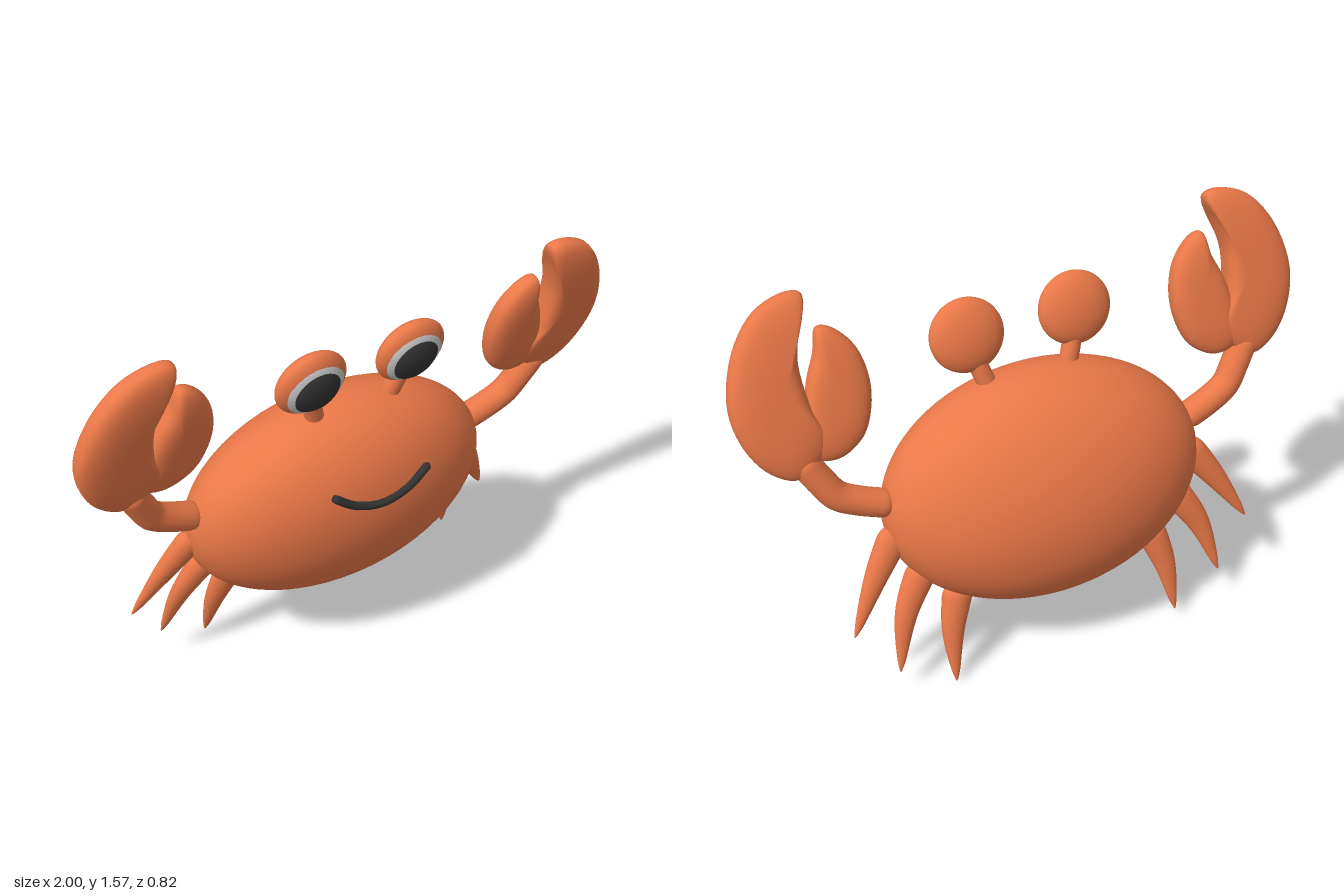
import * as THREE from 'three';
import { mergeVertices } from 'three/addons/utils/BufferGeometryUtils.js';

const shell = new THREE.MeshStandardMaterial({ color: 0xea7848 });
const white = new THREE.MeshStandardMaterial({ color: 0xcccccc });
const dark = new THREE.MeshStandardMaterial({ color: 0x333333 });

function mesh(name, geometry, material) {
  const m = new THREE.Mesh(geometry, material);
  m.name = name;
  return m;
}

function ellipsoid(name, radii, position, material, segments = 40) {
  const g = new THREE.SphereGeometry(1, segments, segments * 0.7 | 0).scale(...radii);
  const m = mesh(name, g, material);
  m.position.set(...position);
  return m;
}

// Tube along a path, with rounded ends; taper(t) scales its radius
function limb(name, points, radius, material, taper = () => 1) {
  const curve = new THREE.CatmullRomCurve3(points.map((p) => new THREE.Vector3(...p)));
  const rings = 48, sides = 18;
  const g = new THREE.TubeGeometry(curve, rings, radius, sides);
  const cap = radius / curve.getLength();
  const pos = g.attributes.position;
  const v = new THREE.Vector3();
  for (let i = 0; i <= rings; i++) {
    const t = i / rings;
    const c = curve.getPointAt(t);
    const d = Math.min(1, Math.min(t, 1 - t) / cap);
    const f = taper(t) * Math.sqrt(1 - (1 - d) ** 2);
    for (let j = 0; j <= sides; j++) {
      const k = i * (sides + 1) + j;
      v.fromBufferAttribute(pos, k).sub(c).multiplyScalar(f).add(c);
      pos.setXYZ(k, v.x, v.y, v.z);
    }
  }
  g.deleteAttribute('uv');
  g.deleteAttribute('normal');
  const smooth = mergeVertices(g, 1e-5);
  smooth.computeVertexNormals();
  return mesh(name, smooth, material);
}

// Cushion-like plate: a closed outline with flat faces and a rounded rim
function cushion(name, outline, half, material) {
  const curve = new THREE.CatmullRomCurve3(
    outline.map(([x, y]) => new THREE.Vector3(x, y, 0)), true);
  const pts = curve.getPoints(64).slice(0, 64);
  if (THREE.ShapeUtils.isClockWise(pts)) pts.reverse();
  const c = new THREE.Vector3();
  pts.forEach((p) => c.addScaledVector(p, 1 / pts.length));
  const rings = 28, n = pts.length, verts = [], index = [];
  for (let j = 0; j <= rings; j++) {
    const a = (j / rings - 0.5) * Math.PI;
    const s = Math.max(1e-5, Math.cos(a)) ** 0.6;
    const z = half * Math.sign(a) * Math.abs(Math.sin(a)) ** 0.75;
    for (const p of pts) {
      verts.push(c.x + (p.x - c.x) * s, c.y + (p.y - c.y) * s, z);
    }
  }
  for (let j = 0; j < rings; j++) {
    for (let i = 0; i < n; i++) {
      const a = j * n + i, b = j * n + (i + 1) % n;
      index.push(a, b, a + n, b, b + n, a + n);
    }
  }
  const g = new THREE.BufferGeometry();
  g.setAttribute('position', new THREE.Float32BufferAttribute(verts, 3));
  g.setIndex(index);
  const smooth = mergeVertices(g, 2e-3);
  smooth.computeVertexNormals();
  const m = mesh(name, smooth, material);
  m.position.z = -0.03;
  return m;
}

const bigFinger = [
  [0.728, 0.872], [0.772, 0.888], [0.888, 0.85], [0.984, 0.733], [1.038, 0.553],
  [1.018, 0.413], [0.955, 0.306], [0.865, 0.254], [0.78, 0.298], [0.735, 0.37],
  [0.772, 0.491], [0.786, 0.658], [0.762, 0.768],
];
const smallFinger = [
  [0.703, 0.75], [0.662, 0.743], [0.592, 0.667], [0.562, 0.55], [0.575, 0.435],
  [0.62, 0.343], [0.711, 0.29], [0.79, 0.31], [0.8, 0.44], [0.768, 0.575], [0.728, 0.667],
];
const legPaths = [
  [[0.555, -0.025], [0.664, -0.185], [0.782, -0.392]],
  [[0.485, -0.185], [0.582, -0.355], [0.645, -0.58]],
  [[0.375, -0.3], [0.426, -0.48], [0.447, -0.688]],
];

export function createModel() {
  const crab = new THREE.Group();
  crab.name = 'crab';

  crab.add(ellipsoid('body', [0.6, 0.436, 0.297], [0, -0.004, 0], shell, 64));

  // Smile
  crab.add(limb('mouth', [
    [-0.205, 0.27, 0.235], [-0.11, 0.209, 0.258], [0, 0.187, 0.27],
    [0.11, 0.209, 0.258], [0.197, 0.267, 0.235],
  ], 0.015, dark));

  for (const side of [1, -1]) {
    const label = side > 0 ? 'left' : 'right';
    const flip = ([x, y, z = 0]) => [x * side, y, z];

    // Eye on a short stalk
    const eye = new THREE.Group();
    eye.name = label + 'Eye';
    eye.add(limb('eyeStalk', [
      [0.14, 0.36, -0.01], [0.165, 0.44, -0.015], [0.195, 0.54, -0.018],
    ].map(flip), 0.034, shell));
    eye.add(ellipsoid('eyeball', [0.134, 0.132, 0.057], flip([0.2, 0.59, -0.018]), shell));
    eye.add(ellipsoid('eyeWhite', [0.119, 0.117, 0.05], flip([0.199, 0.587, -0.005]), white));
    eye.add(ellipsoid('pupil', [0.096, 0.096, 0.045], flip([0.198, 0.584, 0.01]), dark));
    crab.add(eye);

    // Arm and two-fingered claw
    const arm = new THREE.Group();
    arm.name = label + 'Arm';
    arm.add(limb('upperArm', [
      [0.55, 0.065, -0.018], [0.68, 0.118, -0.02], [0.745, 0.158, -0.022],
      [0.79, 0.228, -0.025], [0.85, 0.34, -0.03],
    ].map(flip), 0.052, shell));
    arm.add(cushion('bigClawFinger', bigFinger.map(flip), 0.062, shell));
    arm.add(cushion('smallClawFinger', smallFinger.map(flip), 0.053, shell));
    crab.add(arm);

    // Pointed legs, slightly flattened front to back
    legPaths.forEach((path, i) => {
      const leg = limb(label + 'Leg' + (i + 1), path.map(flip), 0.059, shell,
        (t) => 1 - 0.88 * t ** 1.5);
      leg.scale.z = 0.74;
      leg.position.z = -0.013;
      crab.add(leg);
    });
  }

  // Turned and leaning pose
  crab.rotation.set(0.262, -0.297, -0.04, 'YXZ');
  crab.position.set(0.015, 0.68, -0.06);

  const model = new THREE.Group();
  model.name = 'model';
  model.add(crab);
  return model;
}
